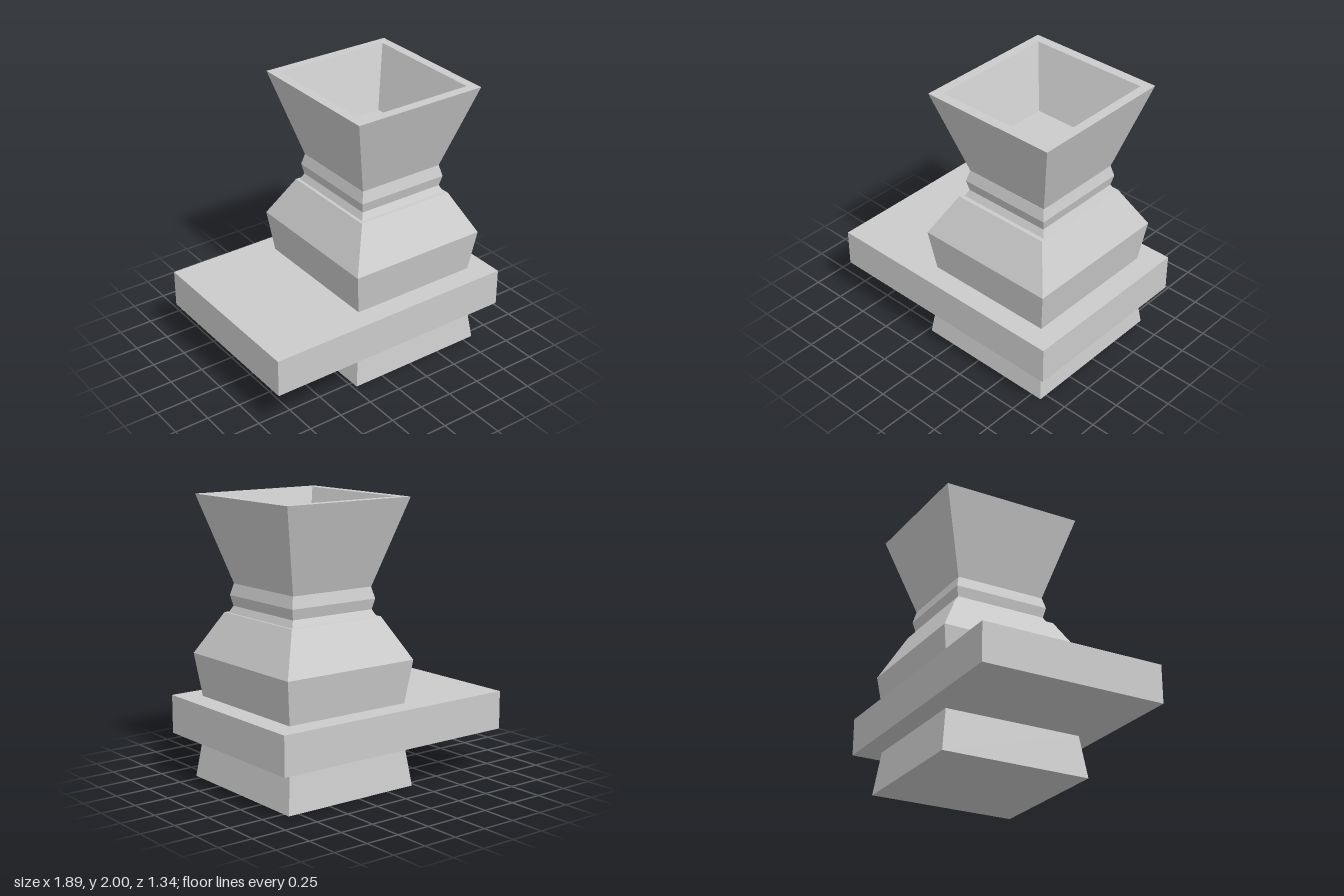
import * as THREE from 'three';

const material = new THREE.MeshStandardMaterial({ color: 0xcccccc, flatShading: true });

// Square-sided solid from rings [y, halfWidth, halfDepth], with both ends capped
function loft(name, rings, cx, cz) {
  const points = [];
  const corners = ([y, w, d]) => [[w, d], [w, -d], [-w, -d], [-w, d]]
    .map(([x, z]) => [cx + x, y, cz + z]);
  const quad = (a, b, c, d) => points.push(...a, ...b, ...c, ...a, ...c, ...d);
  const loops = rings.map(corners);
  for (let i = 0; i < loops.length - 1; i++) {
    for (let k = 0; k < 4; k++) {
      const n = (k + 1) % 4;
      quad(loops[i][k], loops[i][n], loops[i + 1][n], loops[i + 1][k]);
    }
  }
  const bottom = loops[0], top = loops[loops.length - 1];
  quad(bottom[3], bottom[2], bottom[1], bottom[0]);
  quad(top[0], top[1], top[2], top[3]);
  const geometry = new THREE.BufferGeometry();
  geometry.setAttribute('position', new THREE.Float32BufferAttribute(points, 3));
  geometry.computeVertexNormals();
  const mesh = new THREE.Mesh(geometry, material);
  mesh.name = name;
  return mesh;
}

export function createModel() {
  const model = new THREE.Group();
  model.name = 'pedestalBowl';

  // Wide slab, with the pedestal set towards its left end
  const slab = new THREE.Mesh(new THREE.BoxGeometry(1.89, 0.275, 1.34), material);
  slab.name = 'slab';
  slab.position.y = 0.448;
  model.add(slab);

  // Tapered foot below the slab
  model.add(loft('foot', [[0, 0.527, 0.556], [0.312, 0.485, 0.514]], 0.304, 0));

  // Flared base and sloping shoulder above the slab
  model.add(loft('shoulder', [
    [0.583, 0.485, 0.514], [0.892, 0.527, 0.556], [1.186, 0.373, 0.393],
  ], 0.304, 0));

  // Narrow neck with a bevelled band
  model.add(loft('neck', [
    [1.186, 0.354, 0.37], [1.234, 0.331, 0.345], [1.308, 0.347, 0.362], [1.39, 0.327, 0.341],
  ], 0.308, -0.007));

  // Flared bowl: outer wall, rim, inner wall and floor
  model.add(loft('bowl', [
    [1.39, 0.327, 0.341], [2, 0.506, 0.531], [2, 0.439, 0.461], [1.56, 0.309, 0.328],
  ], 0.308, -0.009));

  return model;
}
